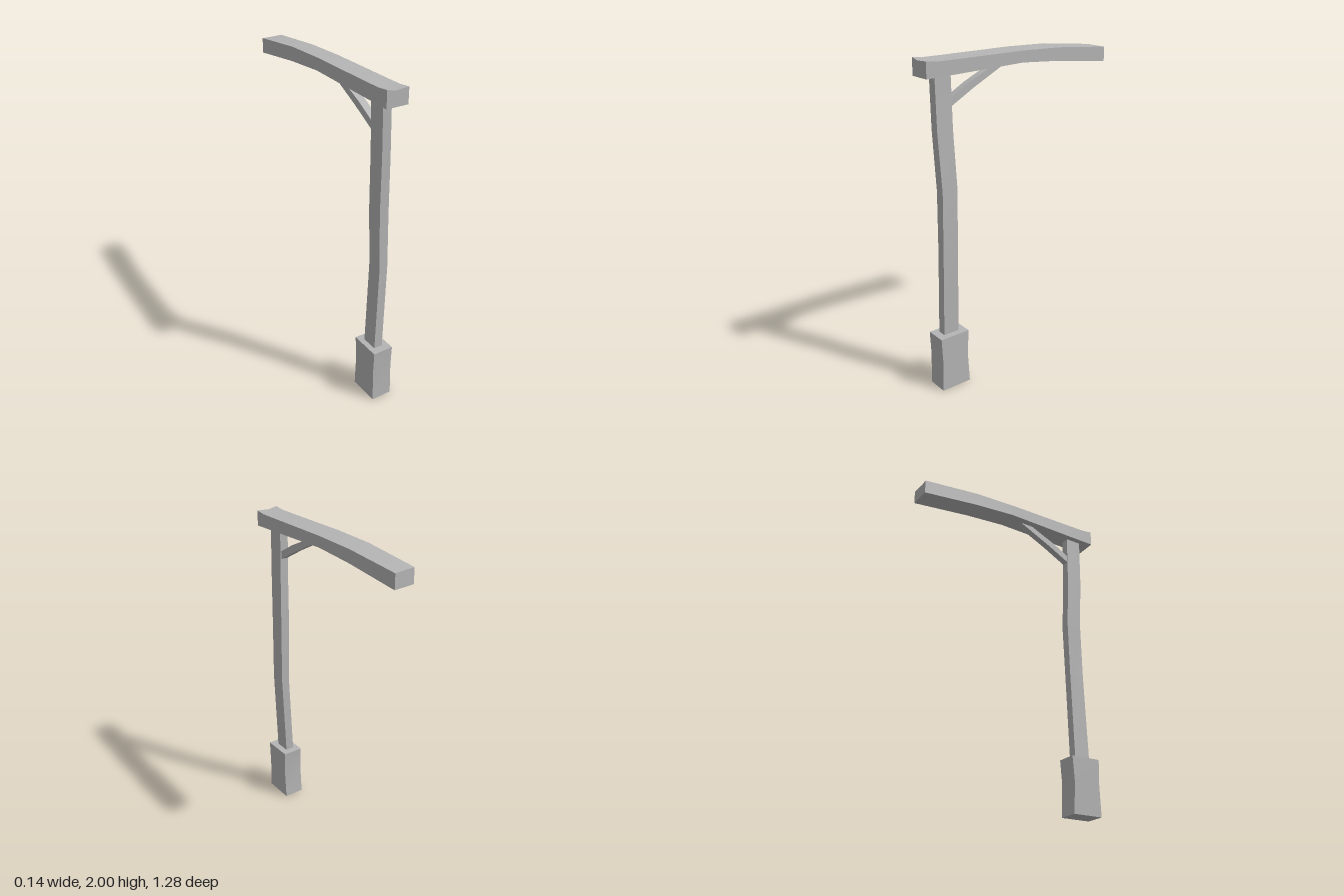
import * as THREE from 'three';
import { toCreasedNormals } from 'three/addons/utils/BufferGeometryUtils.js';

// Skins a closed solid over equal-length rings, wound counter-clockwise about the axis
function loft(rings) {
  const n = rings[0].length, last = (rings.length - 1) * n, index = [];
  for (let r = 0; r < rings.length - 1; r++) {
    for (let i = 0; i < n; i++) {
      const a = r * n + i, b = r * n + (i + 1) % n;
      index.push(a, b, b + n, a, b + n, a + n);
    }
  }
  for (let i = 1; i < n - 1; i++) {
    index.push(0, i + 1, i, last, last + i, last + i + 1);
  }
  const geometry = new THREE.BufferGeometry();
  geometry.setAttribute('position', new THREE.Float32BufferAttribute(rings.flat(2), 3));
  geometry.setIndex(index);
  return toCreasedNormals(geometry, 0.6);
}

// Horizontal rectangle for upright timbers
const level = ([y, x0, x1, z0, z1]) =>
  [[x0, y, z1], [x1, y, z1], [x1, y, z0], [x0, y, z0]];

export function createModel() {
  const group = new THREE.Group();
  const grey = new THREE.MeshStandardMaterial({ color: 0xb4b4b4 });
  grey.name = 'grey';
  const add = (name, rings) => {
    const mesh = new THREE.Mesh(loft(rings), grey);
    mesh.name = name;
    group.add(mesh);
  };

  // Footing block with slightly hollow sides: y, x range, z range
  add('base', [
    [0, -0.065, 0.065, 0.418, 0.613],
    [0.2, -0.065, 0.065, 0.428, 0.607],
    [0.35, -0.065, 0.065, 0.418, 0.613],
  ].map(level));

  // Crooked post
  add('post', [
    [0.35, -0.031, 0.024, 0.463, 0.566],
    [0.9, -0.012, 0.042, 0.463, 0.562],
    [1.25, -0.018, 0.041, 0.453, 0.553],
    [1.6, -0.027, 0.028, 0.463, 0.566],
    [1.91, -0.033, 0.021, 0.463, 0.566],
  ].map(level));

  // Drooping beam, back to front: z, bottom y, top y at left edge, middle, right edge
  const beam = [
    [-0.63, 1.862, 1.952, 1.951, 1.95],
    [-0.27, 1.902, 1.988, 1.984, 1.98],
    [0, 1.92, 1.995, 1.991, 1.987],
    [0.47, 1.905, 1.992, 1.988, 1.985],
    [0.57, 1.903, 1.992, 1.987, 1.985],
    [0.643, 1.9, 2.0, 1.988, 1.993],
  ].map(([z, b, t0, t1, t2], i) => {
    const skew = i === 0 ? -0.01 : 0; // back end is cut slightly askew
    return [
      [-0.07, b, z], [-0.02, b, z], [0.066, b, z + skew],
      [0.066, t2, z + skew], [-0.02, t1, z], [-0.07, t0, z],
    ];
  });
  add('beam', beam);

  // Curved brace, back to front: lower z and y, upper z and y
  add('brace', [
    [0.09, 1.92, 0.17, 1.92],
    [0.31, 1.81, 0.345, 1.84],
    [0.463, 1.725, 0.463, 1.773],
  ].map(([zb, yb, zt, yt]) =>
    [[-0.027, yb, zb], [0.018, yb, zb], [0.018, yt, zt], [-0.027, yt, zt]]));

  return group;
}
